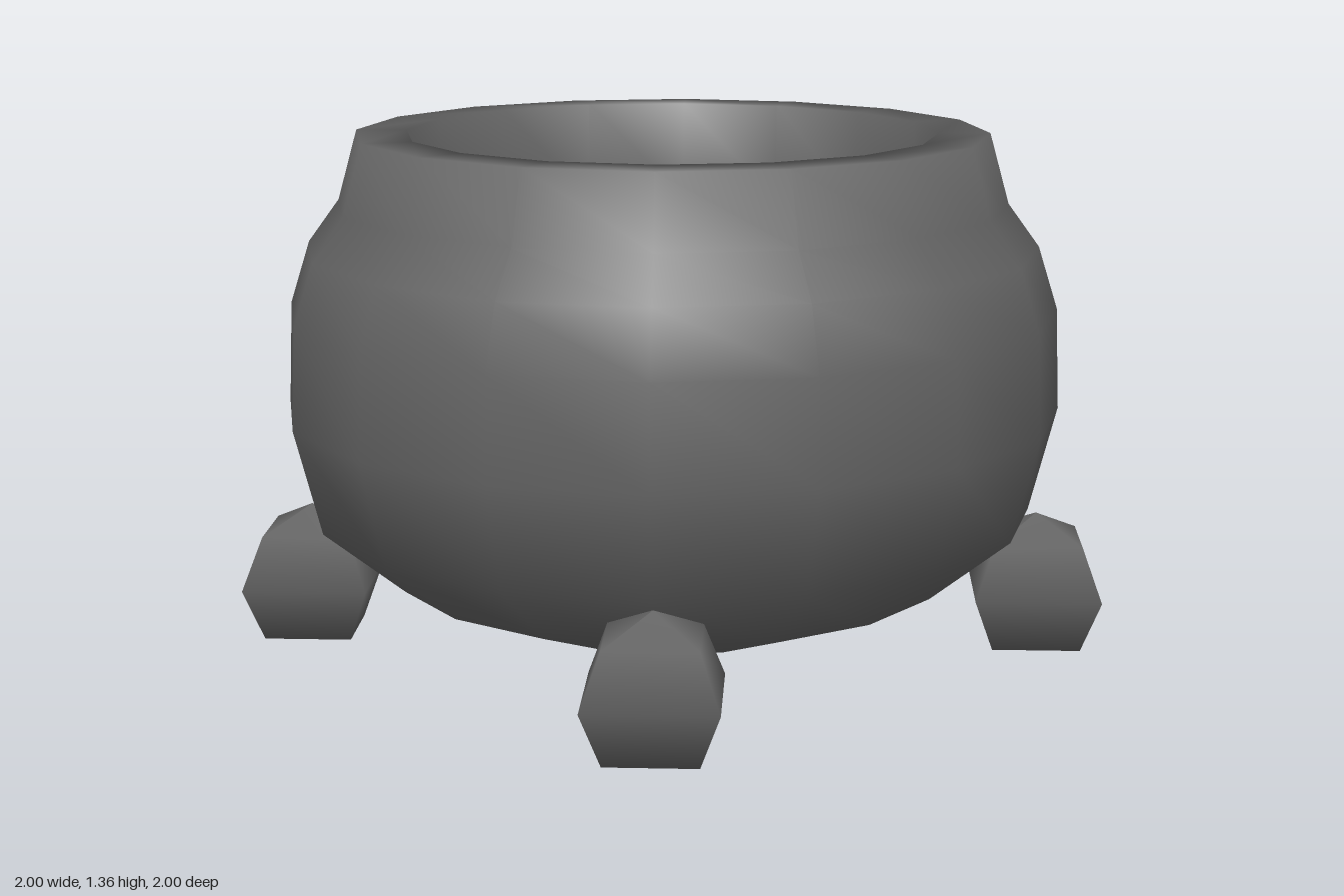
import * as THREE from 'three';

const lathe = (profile, sides) =>
  new THREE.LatheGeometry(profile.map(([r, y]) => new THREE.Vector2(r, y)), sides);

export function createModel() {
  const model = new THREE.Group();
  model.name = 'cauldron';

  const iron = new THREE.MeshStandardMaterial({ color: 0x666666 });
  const green = new THREE.MeshStandardMaterial({ color: 0x0f9f1b });

  const add = (name, geometry, material) => {
    const mesh = new THREE.Mesh(geometry, material);
    mesh.name = name;
    model.add(mesh);
    return mesh;
  };

  // Round belly, narrowed neck, flat rim and inner wall in one profile
  add('pot', lathe([
    [0, 0.065], [0.38, 0.085], [0.72, 0.21], [0.93, 0.38],
    [1, 0.65], [0.99, 0.91], [0.94, 1.07], [0.86, 1.18],
    [0.81, 1.36], [0.68, 1.36], [0.68, 1.1],
  ], 16), iron);

  // Liquid surface, sunk below the rim
  const liquid = add('liquid', new THREE.CircleGeometry(0.68, 16), green);
  liquid.rotation.x = -Math.PI / 2;
  liquid.position.y = 1.19;

  // Four stubby four-sided ball feet
  const footGeometry = lathe([
    [0, 0], [0.16, 0.03], [0.228, 0.17], [0.16, 0.305], [0, 0.37],
  ], 4);
  for (const [side, x] of [['Left', 0.675], ['Right', -0.675]]) {
    for (const [end, z] of [['front', 0.67], ['back', -0.67]]) {
      add(`${end}${side}Foot`, footGeometry, iron).position.set(x, 0, z);
    }
  }

  return model;
}
